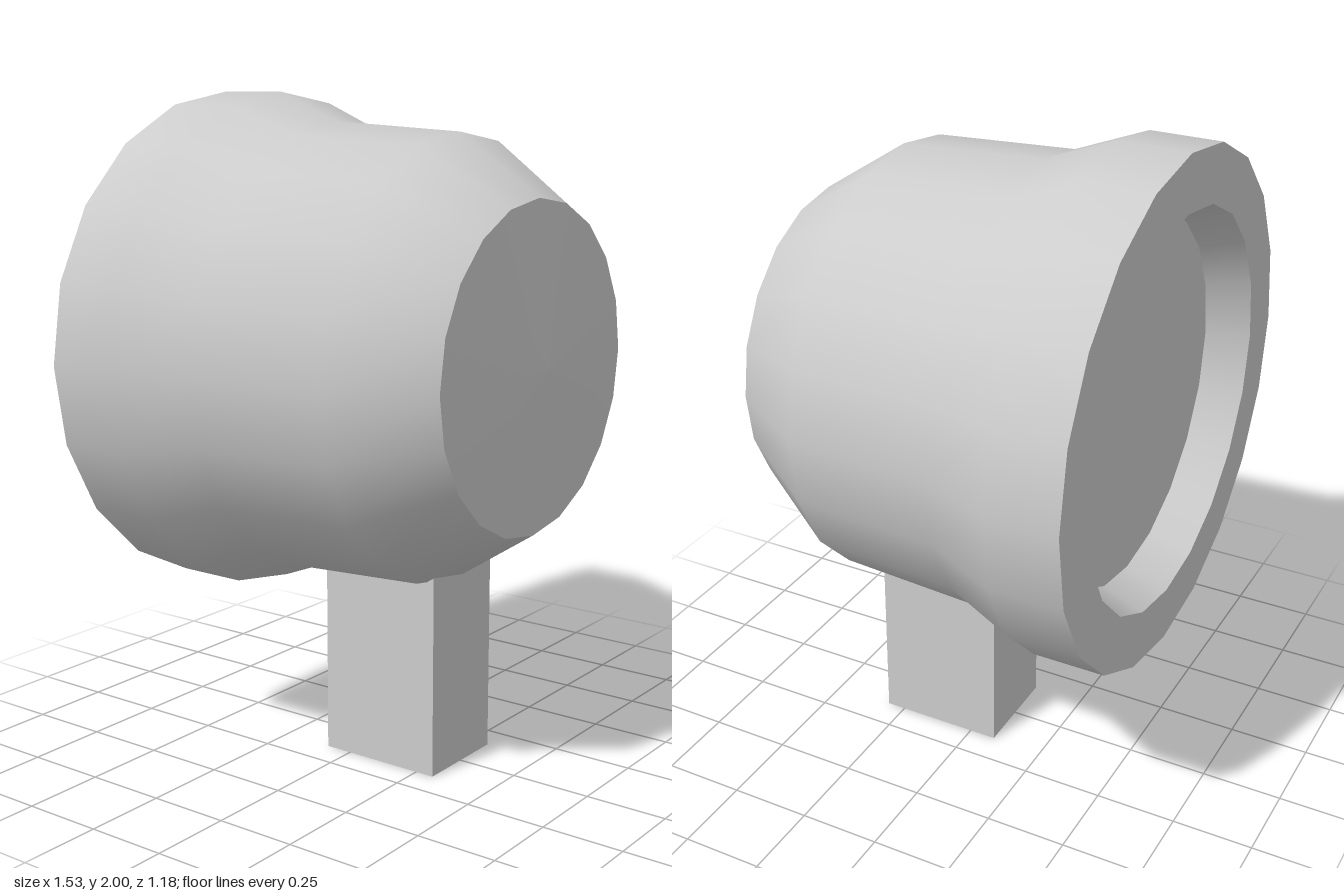
import * as THREE from 'three';

const SIDES = 20;
const AXIS_Y = 1.235;

export function createModel() {
  const grey = new THREE.MeshStandardMaterial({ color: 0xcccccc });
  grey.name = 'light grey';

  const model = new THREE.Group();
  model.name = 'lampOnPost';

  // Housing turned around the z axis; each entry is one smooth surface of [radius, z] points,
  // so the edges between surfaces stay sharp
  const surfaces = {
    recessFloor: [[0, -0.46], [0.55, -0.46]],
    recessWall: [[0.55, -0.46], [0.595, -0.59]],
    backRim: [[0.595, -0.59], [0.765, -0.59]],
    housingShell: [[0.765, -0.59], [0.765, -0.37], [0.68, -0.155], [0.658, 0.285], [0.483, 0.55]],
    frontCap: [[0.483, 0.55], [0, 0.59]],
  };
  const housing = new THREE.Group();
  housing.name = 'housing';
  housing.position.y = AXIS_Y;
  for (const [name, profile] of Object.entries(surfaces)) {
    const points = profile.map(([r, z]) => new THREE.Vector2(r, z));
    const geometry = new THREE.LatheGeometry(points, SIDES).rotateX(Math.PI / 2);
    const mesh = new THREE.Mesh(geometry, grey);
    mesh.name = name;
    housing.add(mesh);
  }
  model.add(housing);

  // Square post, its top buried in the housing
  const post = new THREE.Mesh(new THREE.BoxGeometry(0.304, 0.66, 0.394), grey);
  post.name = 'post';
  post.position.set(0, 0.33, 0.112);
  model.add(post);

  return model;
}
